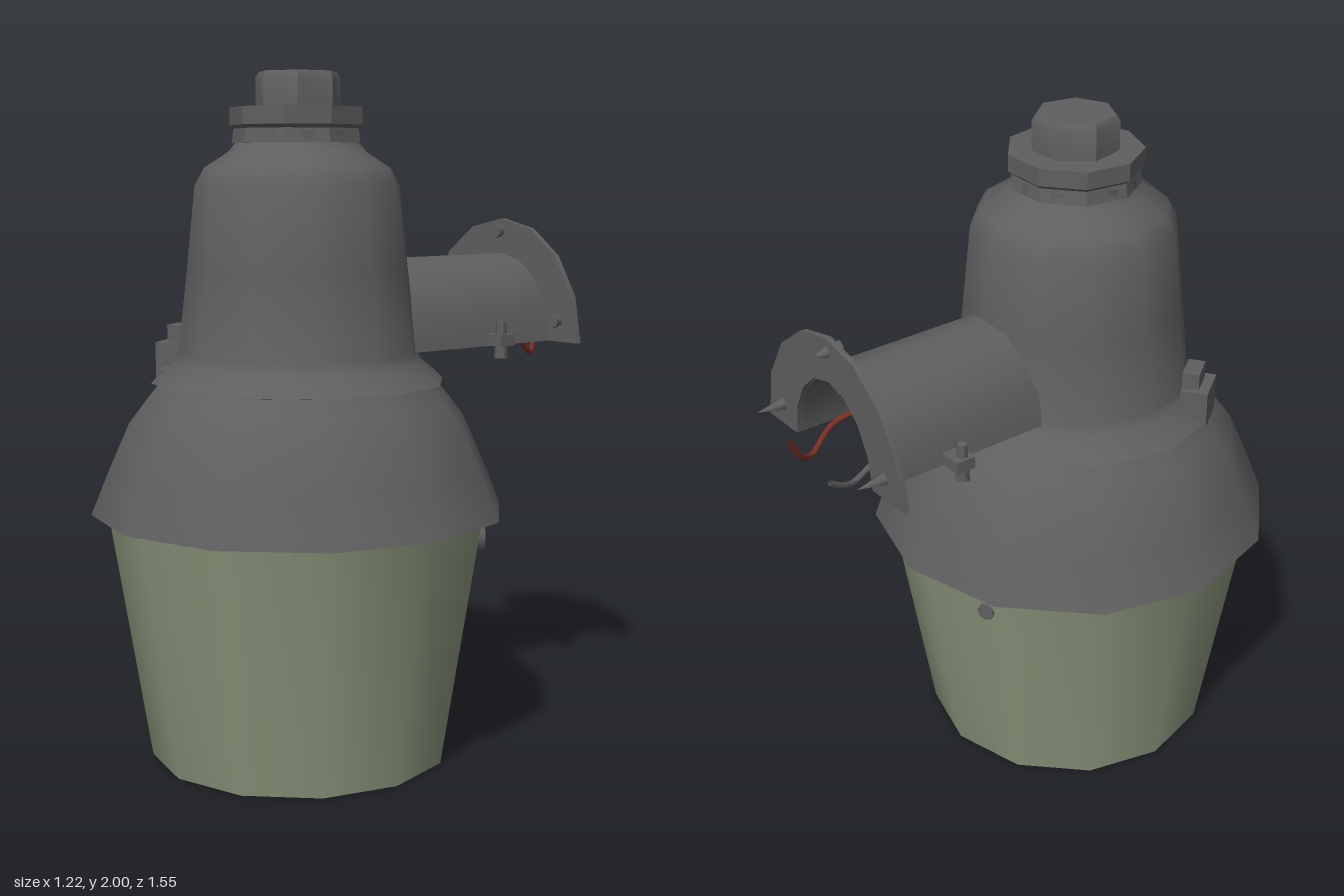
import * as THREE from 'three';
import { toCreasedNormals } from 'three/addons/utils/BufferGeometryUtils.js';

export function createModel() {
  const lamp = new THREE.Group();
  lamp.name = 'yardLight';
  const mat = (name, color) => {
    const m = new THREE.MeshStandardMaterial({ color, side: THREE.DoubleSide });
    m.name = name;
    return m;
  };
  const metal = mat('darkMetal', 0x5f5f5f);
  const glass = mat('greenGlass', 0x8a947b);
  const red = mat('redWire', 0x7c3028);
  const axisZ = 0.165;

  const add = (name, geo, material, x = 0, y = 0, z = 0) => {
    const mesh = new THREE.Mesh(geo, material);
    mesh.name = name;
    mesh.position.set(x, y, z);
    lamp.add(mesh);
    return mesh;
  };
  const turned = (name, material, sides, pts) => {
    const geo = new THREE.LatheGeometry(pts.map(p => new THREE.Vector2(...p)), sides);
    return add(name, toCreasedNormals(geo, 0.65), material, 0, 0, axisZ);
  };

  // Glass refractor, open at the bottom, with a thin wall
  turned('refractor', glass, 12, [[0.545, 0.725], [0.428, 0.01], [0.441, 0.005], [0.557, 0.725]]);

  // Hood with a closed underside
  turned('hood', metal, 12, [[0, 0.75], [0.56, 0.75], [0.608, 0.735], [0.553, 0.87],
    [0.495, 1.0], [0.45, 1.06], [0.41, 1.11], [0, 1.11]]);

  // Ballast housing with flared foot and rounded shoulder
  turned('housing', metal, 12, [[0.36, 1.105], [0.43, 1.115], [0.415, 1.13], [0.362, 1.175], [0.35, 1.2],
    [0.323, 1.44], [0.298, 1.68], [0.27, 1.73], [0.2, 1.775], [0.18, 1.8], [0.18, 1.83]]);

  // Photocell collar and cap
  turned('collar', metal, 9, [[0.16, 1.8], [0.19, 1.8], [0.184, 1.84], [0.196, 1.85], [0.196, 1.9], [0.11, 1.9]]);
  turned('photocellCap', metal, 7, [[0.125, 1.88], [0.125, 1.985], [0.115, 2.0], [0, 2.0]]);

  // Arch-shaped bracket arm and wall flange, open underneath
  const arch = (rx, ry, innerX, innerY, depth) => {
    const shape = new THREE.Shape();
    const n = 8;
    for (let i = 0; i <= n; i++) {
      const a = Math.PI * i / n;
      shape[i ? 'lineTo' : 'moveTo'](rx * Math.cos(a), ry * Math.sin(a));
    }
    for (let i = n; i >= 0; i--) {
      const a = Math.PI * i / n;
      shape.lineTo(innerX * Math.cos(a), innerY * Math.sin(a));
    }
    return toCreasedNormals(new THREE.ExtrudeGeometry(shape, { depth, bevelEnabled: false }), 0.65);
  };
  add('bracketArm', arch(0.208, 0.265, 0.185, 0.24, 0.61), metal, 0.005, 1.195, -0.66);
  add('wallFlange', arch(0.335, 0.375, 0.19, 0.245, 0.018), metal, 0, 1.195, -0.675);

  // Flange bolts: a head in front and a pointed tip behind
  for (const [x, y, len] of [[-0.25, 1.26, 0.09], [0.255, 1.26, 0.09], [0, 1.53, 0.045]]) {
    const tip = add('boltTip', new THREE.ConeGeometry(0.02, len, 6), metal, x, y, -0.67 - len / 2);
    tip.rotation.x = -Math.PI / 2;
    const head = add('boltHead', new THREE.CylinderGeometry(0.022, 0.018, 0.025, 6), metal, x, y, -0.645);
    head.rotation.x = Math.PI / 2;
  }

  // Clamp lugs and screws on both sides of the arm
  for (const side of [-1, 1]) {
    add('clampLug', new THREE.BoxGeometry(0.07, 0.035, 0.06), metal, side * 0.235, 1.215, -0.425);
    add('clampScrew', new THREE.CylinderGeometry(0.015, 0.022, 0.11, 6), metal, side * 0.245, 1.215, -0.42);
  }

  // Loose wires hanging from the bracket
  const wire = (name, material, pts) => add(name, new THREE.TubeGeometry(
    new THREE.CatmullRomCurve3(pts.map(p => new THREE.Vector3(...p))), 16, 0.009, 5), material);
  wire('redWire', red, [[0.08, 1.27, -0.4], [0.15, 1.21, -0.58], [0.13, 1.15, -0.665], [0.08, 1.19, -0.73], [0.06, 1.26, -0.772]]);
  wire('greyWire', metal, [[-0.06, 1.27, -0.4], [-0.08, 1.21, -0.58], [-0.09, 1.17, -0.67], [-0.115, 1.19, -0.72], [-0.125, 1.22, -0.765]]);

  // Latch on the shoulder of the hood
  const latch = new THREE.Group();
  latch.name = 'latch';
  latch.position.set(-0.325, 1.11, 0.375);
  latch.rotation.y = 0.62;
  for (const [w, h, d, x, y, z] of [
    [0.08, 0.11, 0.13, 0, 0.055, 0],
    [0.05, 0.05, 0.09, 0.015, 0.135, 0],
    [0.07, 0.04, 0.1, 0.03, 0.02, 0.1]]) {
    const block = new THREE.Mesh(new THREE.BoxGeometry(w, h, d), metal);
    block.name = 'latchBlock';
    block.position.set(x, y, z);
    latch.add(block);
  }
  lamp.add(latch);

  // Retaining screws showing through the glass near its top
  for (const [angle, r] of [[2.42, 0.045], [3.56, 0.026]]) {
    const screw = add('glassScrew', new THREE.CylinderGeometry(r, r, 0.03, 8), metal,
      Math.sin(angle) * 0.532, 0.655, axisZ + Math.cos(angle) * 0.532);
    screw.rotation.set(Math.PI / 2, angle, 0, 'YXZ');
  }
  return lamp;
}
